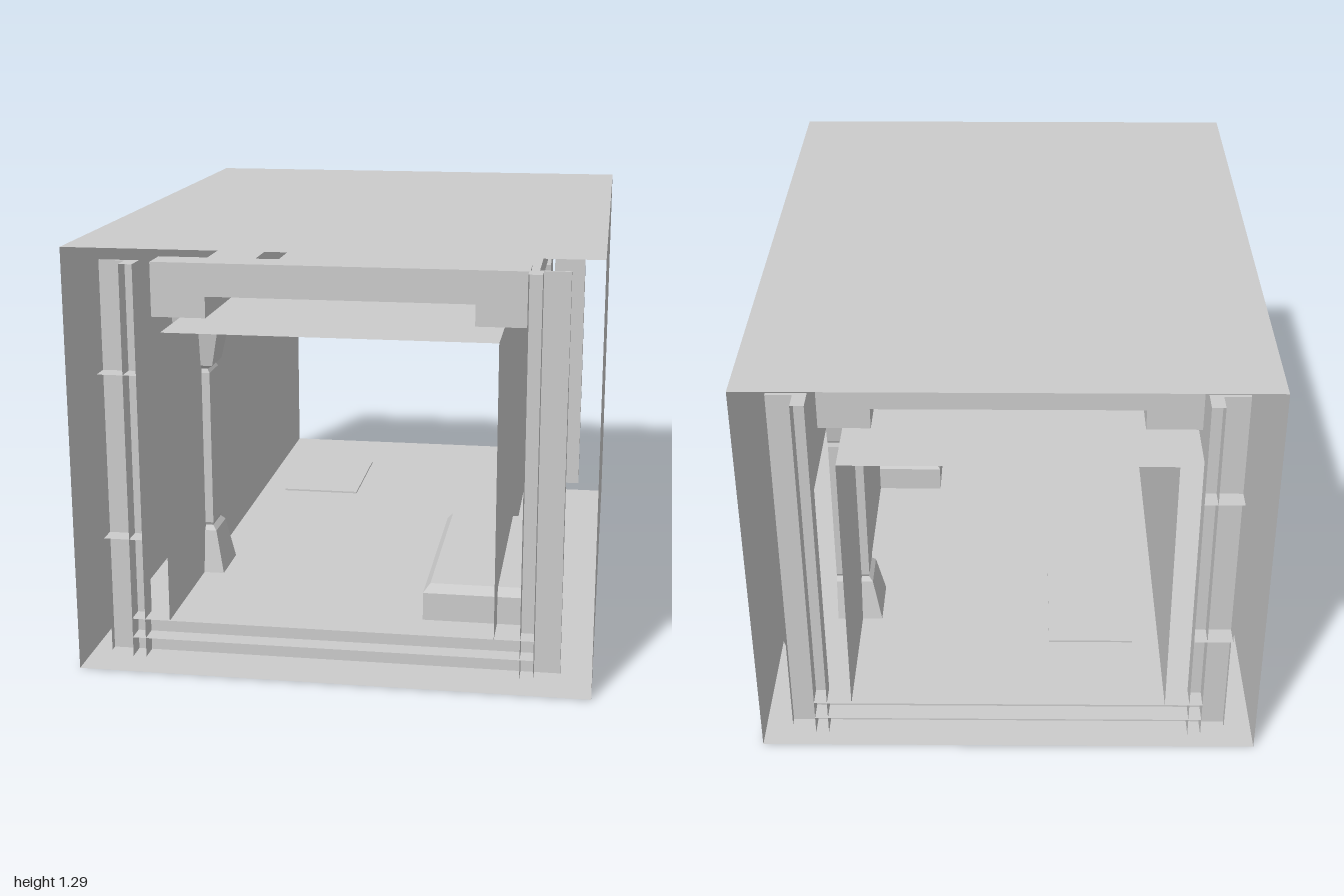
import * as THREE from 'three';

const material = new THREE.MeshStandardMaterial({ color: 0xcccccc, flatShading: true, side: THREE.DoubleSide });

function add(parent, name, geometry) {
  const mesh = new THREE.Mesh(geometry, material);
  mesh.name = name;
  parent.add(mesh);
  return mesh;
}

// Box given by its limits on each axis
function block(parent, name, [x0, x1], [y0, y1], [z0, z1]) {
  const g = new THREE.BoxGeometry(x1 - x0, y1 - y0, z1 - z0);
  g.translate((x0 + x1) / 2, (y0 + y1) / 2, (z0 + z1) / 2);
  return add(parent, name, g);
}

// Thin rectangular duct, open at both ends
function openTube(parent, name, halfWidth, y0, y1, halfLength) {
  const g = new THREE.BoxGeometry(halfWidth * 2, y1 - y0, halfLength * 2);
  g.setIndex(Array.from(g.index.array.slice(0, 24)));
  g.translate(0, (y0 + y1) / 2, 0);
  return add(parent, name, g);
}

// Flat sheet of constant x, outlined by (z, y) points
function sideSheet(parent, name, x, points) {
  const shape = new THREE.Shape(points.map(([z, y]) => new THREE.Vector2(-z, y)));
  const g = new THREE.ShapeGeometry(shape);
  g.rotateY(Math.PI / 2);
  g.translate(x, 0, 0);
  return add(parent, name, g);
}

// Flat horizontal sheet
function levelSheet(parent, name, [x0, x1], y, [z0, z1]) {
  const g = new THREE.PlaneGeometry(x1 - x0, z1 - z0);
  g.rotateX(-Math.PI / 2);
  g.translate((x0 + x1) / 2, y, (z0 + z1) / 2);
  return add(parent, name, g);
}

// Wall pillar: rows of [height, reach from centre line, half depth]
function pillar(parent, name, side, z) {
  const rows = [
    [0.17, 0.42, 0.085], [0.305, 0.447, 0.062], [0.32, 0.46, 0.05],
    [0.33, 0.458, 0.055], [0.825, 0.458, 0.055], [0.838, 0.465, 0.05],
    [0.85, 0.447, 0.062], [1.03, 0.41, 0.09], [1.055, 0.42, 0.082],
  ];
  const n = rows.length - 1;
  const box = new THREE.BoxGeometry(1, 1, 1, 1, n, 1);
  const p = box.attributes.position;
  for (let i = 0; i < p.count; i++) {
    const [y, reach, half] = rows[Math.round((p.getY(i) + 0.5) * n)];
    const inner = p.getX(i) * side < 0;
    p.setXYZ(i, side * (inner ? reach : 0.565), y, z + Math.sign(p.getZ(i)) * half);
  }
  const g = box.toNonIndexed();
  g.computeVertexNormals();
  return add(parent, name, g);
}

// Frame of folded sheets at one end; 'end' is +1 at the front, -1 at the back
function endFrame(end) {
  const frame = new THREE.Group();
  frame.name = end > 0 ? 'frontFrame' : 'backFrame';
  const zs = (a, b) => (end > 0 ? [a, b] : [-b, -a]);

  for (const side of [-1, 1]) {
    const xs = (a, b) => (side > 0 ? [a, b] : [-b, -a]);
    block(frame, 'postPanel', xs(0.56, 0.677), [0.05, 1.245], zs(0.93, 0.94));
    for (const x of [0.56, 0.6]) {
      sideSheet(frame, 'postFlange', side * x,
        [[0.94, 0.05], [1, 0.05], [1, 1.245], [0.94, 1.245]].map(([z, y]) => [z * end, y]));
    }
    levelSheet(frame, 'postCap', xs(0.56, 0.6), 1.245, zs(0.94, 1));
    // Outer edge: tapered guard on one side, square clamp on the other
    const slope = side > 0 ? 0.05 : 0;
    sideSheet(frame, 'edgeGuard', side * 0.677, [
      [0.94, 0.05], [0.965, 0.05], [0.965, 0.42 - slope], [1, 0.42], [1, 0.92],
      [0.965, 0.92 + slope], [0.965, 1.245], [0.94, 1.245],
    ].map(([z, y]) => [z * end, y]));
    if (side < 0) {
      for (const y of [0.42, 0.92]) levelSheet(frame, 'clampPlate', xs(0.56, 0.677), y, zs(0.93, 1));
    }
  }

  // Sill with two ledges
  block(frame, 'sillPanel', [-0.6, 0.6], [0.05, 0.17], zs(0.93, 0.94));
  for (const y of [0.05, 0.11, 0.17]) levelSheet(frame, 'sillLedge', [-0.6, 0.6], y, zs(0.94, 1));

  // Beam above the passage, set back from the opening
  block(frame, 'topBeam', [-0.565, 0.555], [1.12, 1.22], zs(0.71, 0.81));
  return frame;
}

export function createModel() {
  const model = new THREE.Group();
  model.name = 'corridorSection';

  openTube(model, 'outerShell', 0.77, 0, 1.29, 1);
  openTube(model, 'innerPassage', 0.484, 0.17, 1.05, 1);

  model.add(endFrame(1), endFrame(-1));

  // Ducts along the upper corners of the passage
  for (const side of [-1, 1]) {
    const x = side > 0 ? [0.4, 0.555] : [-0.565, -0.4];
    block(model, 'cornerDuct', x, [1.055, 1.12], [-0.81, 0.81]);
  }

  pillar(model, 'leftPillar', 1, -0.5);
  pillar(model, 'rightPillar', -1, 0.5);

  // Bench with bevelled upper edges
  const bench = new THREE.BoxGeometry(1, 1, 1, 1, 2, 1);
  const p = bench.attributes.position;
  for (let i = 0; i < p.count; i++) {
    const level = Math.round((p.getY(i) + 0.5) * 2);
    const inset = level === 2 ? 0.02 : 0;
    p.setXYZ(i,
      p.getX(i) < 0 ? 0.262 + inset : 0.555,
      [0.17, 0.255, 0.28][level],
      0.53 + Math.sign(p.getZ(i)) * (0.35 - inset));
  }
  const benchGeometry = bench.toNonIndexed();
  benchGeometry.computeVertexNormals();
  add(model, 'bench', benchGeometry);

  block(model, 'floorPlate', [-0.4, -0.13], [0.168, 0.176], [-0.7, -0.3]);
  return model;
}
